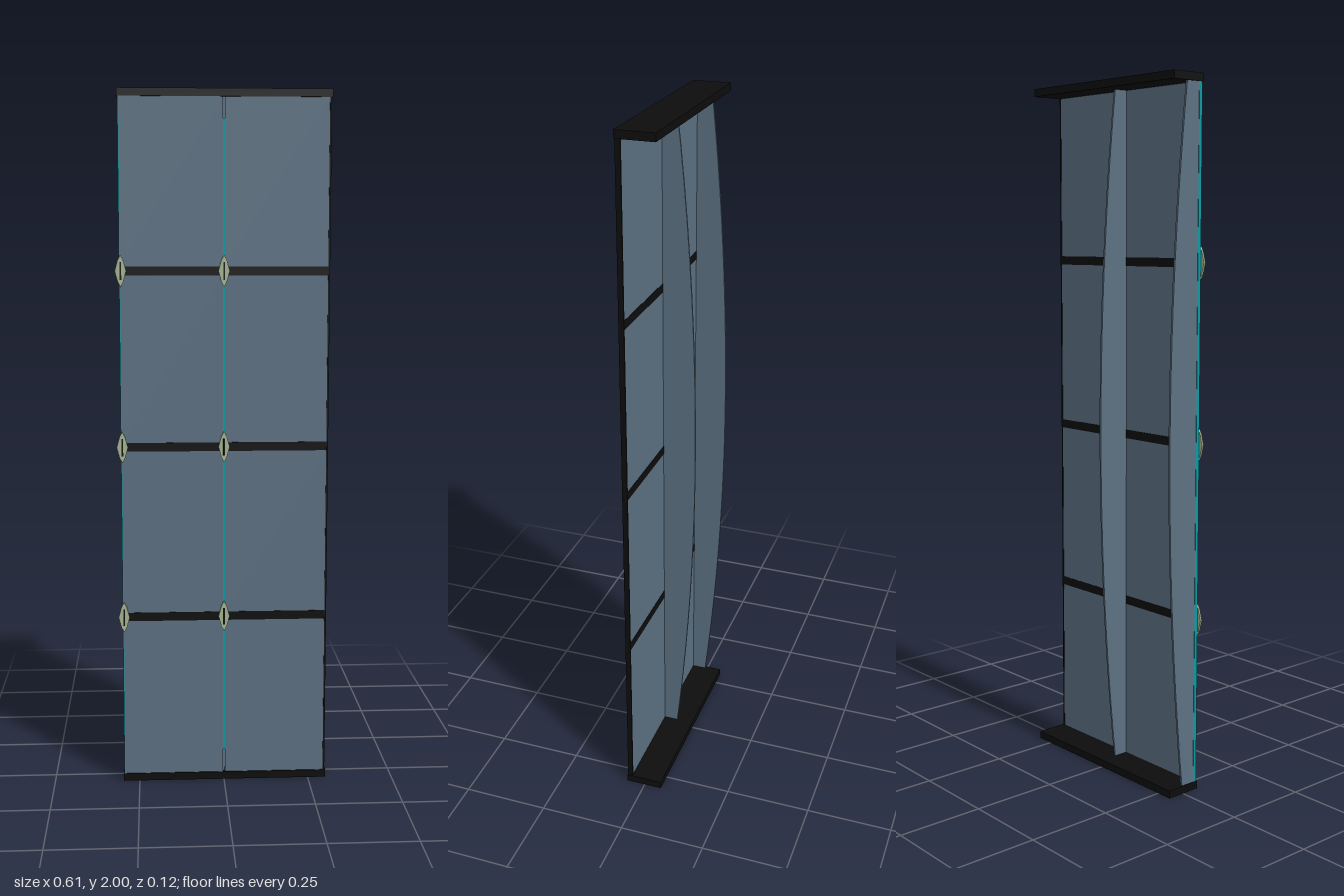
import * as THREE from 'three';

const material = (name, color) => {
  const m = new THREE.MeshStandardMaterial({ color });
  m.name = name;
  return m;
};

export function createModel() {
  const group = new THREE.Group();
  group.name = 'glazedWallPanel';
  const glass = material('blue grey glass', 0x5c7082);
  const black = material('black metal', 0x0d0d0d);
  const teal = material('teal sealant', 0x0a9aa2);
  const green = material('pale green metal', 0xa5b592);

  const add = (name, geometry, mat, x = 0, y = 0, z = 0) => {
    const mesh = new THREE.Mesh(geometry, mat);
    mesh.name = name;
    mesh.position.set(x, y, z);
    group.add(mesh);
    return mesh;
  };
  // Box given by its limits on each axis
  const box = (name, mat, x0, x1, y0, y1, z0, z1) =>
    add(name, new THREE.BoxGeometry(x1 - x0, y1 - y0, z1 - z0), mat,
      (x0 + x1) / 2, (y0 + y1) / 2, (z0 + z1) / 2);

  // Top and bottom channels
  box('bottomRail', black, -0.297, 0.303, 0, 0.022, -0.052, 0.056);
  box('topRail', black, -0.297, 0.303, 1.978, 2, -0.052, 0.056);

  // Panes in two columns of four, with transoms between the rows
  const levels = [0.5, 1, 1.5];
  const rows = [0.022, ...levels, 1.978];
  for (let i = 0; i < 4; i++) {
    const y0 = rows[i] + (i > 0 ? 0.0125 : 0);
    const y1 = rows[i + 1] - (i < 3 ? 0.0125 : 0);
    box('leftPane', glass, 0.003, 0.295, y0, y1, 0.041, 0.053);
    box('rightPane', glass, -0.292, -0.003, y0, y1, 0.041, 0.053);
  }
  for (const y of levels) {
    box('leftTransom', black, 0.003, 0.297, y - 0.0125, y + 0.0125, 0.04, 0.054);
    box('rightTransom', black, -0.292, -0.003, y - 0.0125, y + 0.0125, 0.04, 0.054);
  }

  // Closing strip on the free edge
  box('edgeStrip', black, 0.295, 0.3, 0.022, 1.978, 0.04, 0.055);

  // Bowed glass fins behind the joints, with sealant and clips in front
  const finShape = new THREE.Shape();
  finShape.moveTo(0.042, 0.01);
  finShape.lineTo(0.042, 1.99);
  finShape.lineTo(0, 1.99);
  finShape.quadraticCurveTo(-0.112, 1, 0, 0.01);
  finShape.closePath();
  const finGeometry = new THREE.ExtrudeGeometry(finShape,
    { depth: 0.006, bevelEnabled: false, curveSegments: 20 });
  finGeometry.rotateY(-Math.PI / 2);
  finGeometry.translate(0.003, 0, 0);

  const clipShape = new THREE.Shape();
  [[0, 0.045], [-0.008, 0.03], [-0.016, 0], [-0.008, -0.03],
    [0, -0.045], [0.008, -0.03], [0.016, 0], [0.008, 0.03]]
    .forEach(([x, y], i) => (i ? clipShape.lineTo(x, y) : clipShape.moveTo(x, y)));
  clipShape.closePath();
  const clipGeometry = new THREE.ExtrudeGeometry(clipShape, { depth: 0.006, bevelEnabled: false });

  for (const x of [-0.291, 0]) {
    add('glassFin', finGeometry, glass, x);
    for (const y of levels) {
      add('clip', clipGeometry, green, x, y, 0.053);
      box('clipStem', black, x - 0.0025, x + 0.0025, y - 0.025, y + 0.025, 0.042, 0.0595);
    }
  }
  box('centreSealant', teal, -0.003, 0.003, 0.09, 1.92, 0.042, 0.049);
  box('edgeSealant', teal, -0.295, -0.292, 0.022, 1.978, 0.042, 0.053);
  return group;
}
